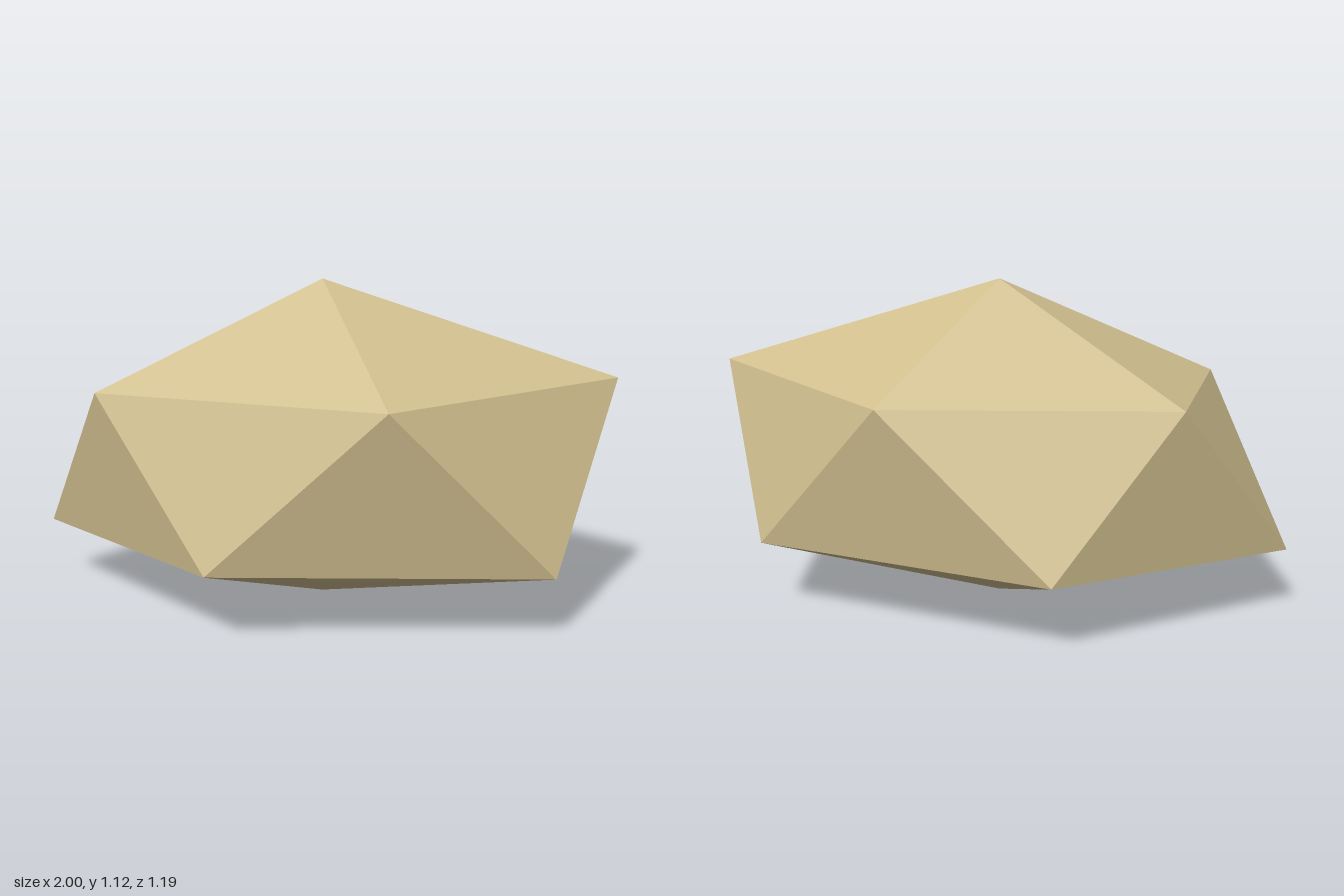
import * as THREE from 'three';

// Faceted boulder: a top point, two staggered rings of five, and a bottom point
export function createModel() {
  const top = [0, 1.12, 0];
  const bottom = [0, 0, 0];
  const upper = [
    [1, 0.805, 0], [0.286, 0.785, 0.594], [-0.706, 0.77, 0.342],
    [-0.663, 0.758, -0.322], [0.278, 0.772, -0.56],
  ];
  const lower = [
    [0.808, 0.222, 0.395], [-0.29, 0.242, 0.594], [-1, 0.222, 0],
    [-0.29, 0.242, -0.594], [0.754, 0.242, -0.364],
  ];

  const positions = [];
  const face = (...corners) => corners.forEach((c) => positions.push(...c));
  for (let i = 0; i < 5; i++) {
    const j = (i + 1) % 5;
    face(top, upper[j], upper[i]); // cap
    face(upper[i], upper[j], lower[i]); // side, pointing down
    face(lower[i], upper[j], lower[j]); // side, pointing up
    face(bottom, lower[i], lower[j]); // underside
  }

  const geometry = new THREE.BufferGeometry();
  geometry.setAttribute('position', new THREE.Float32BufferAttribute(positions, 3));
  geometry.computeVertexNormals(); // unshared corners keep every facet flat

  const sandstone = new THREE.MeshStandardMaterial({ color: 0xd0be8e, flatShading: true });
  sandstone.name = 'sandstone';

  const rock = new THREE.Mesh(geometry, sandstone);
  rock.name = 'rock';

  const group = new THREE.Group();
  group.name = 'boulder';
  group.add(rock);
  return group;
}
